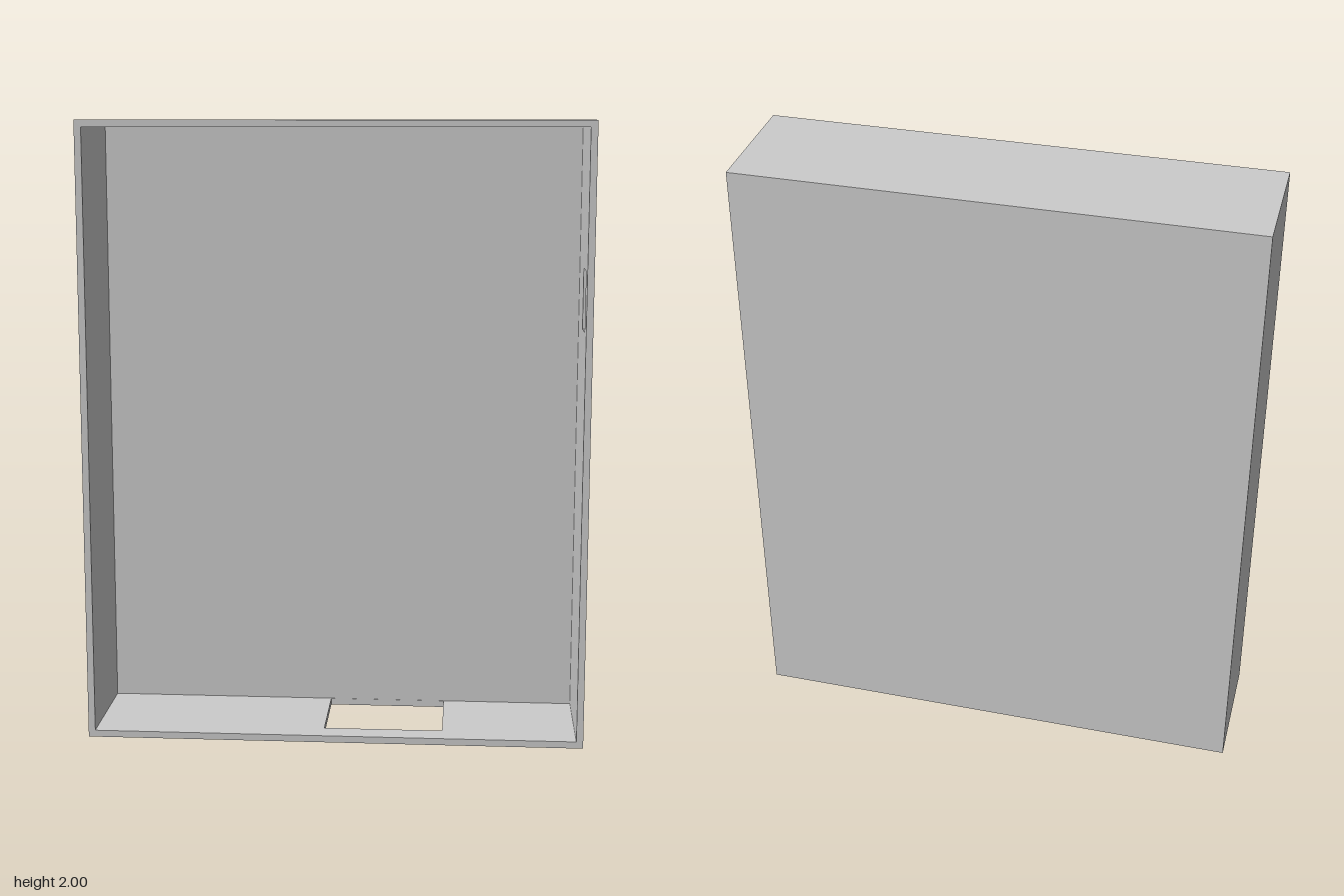
import * as THREE from 'three';

const W = 1.615, H = 2, D = 0.405, T = 0.022; // outer size and wall thickness
const material = new THREE.MeshStandardMaterial({ color: 0xcccccc });

// Flat panel, outer face at z = T, inner face at z = 0 mitred on all edges but the open one.
// hole = [x0, y0, x1, y1] in panel coordinates.
function panel(name, w, h, open, hole) {
  const shape = new THREE.Shape([
    new THREE.Vector2(-w / 2, -h / 2), new THREE.Vector2(w / 2, -h / 2),
    new THREE.Vector2(w / 2, h / 2), new THREE.Vector2(-w / 2, h / 2),
  ]);
  if (hole) {
    const [x0, y0, x1, y1] = hole;
    shape.holes.push(new THREE.Path([
      new THREE.Vector2(x0, y0), new THREE.Vector2(x0, y1),
      new THREE.Vector2(x1, y1), new THREE.Vector2(x1, y0),
    ]));
  }
  const geometry = new THREE.ExtrudeGeometry(shape, { depth: T, bevelEnabled: false });
  const p = geometry.attributes.position;
  const near = (a, b) => Math.abs(a - b) < 1e-4;
  for (let i = 0; i < p.count; i++) {
    if (p.getZ(i) > T / 2) continue;
    const x = p.getX(i), y = p.getY(i);
    if (near(x, w / 2) && open !== '+x') p.setX(i, x - T);
    if (near(x, -w / 2) && open !== '-x') p.setX(i, x + T);
    if (near(y, h / 2) && open !== '+y') p.setY(i, y - T);
    if (near(y, -h / 2) && open !== '-y') p.setY(i, y + T);
  }
  geometry.computeVertexNormals();
  const mesh = new THREE.Mesh(geometry, material);
  mesh.name = name;
  return mesh;
}

export function createModel() {
  const group = new THREE.Group();
  group.name = 'openBox';
  const q = Math.PI / 2;
  const add = (mesh, rx, ry, x, y, z) => {
    mesh.rotation.set(rx, ry, 0);
    mesh.position.set(x, y, z);
    group.add(mesh);
  };

  // Back panel
  add(panel('backPanel', W, H), 0, Math.PI, 0, H / 2, -D / 2 + T);

  // Side walls, the left one with a small window
  add(panel('leftWall', D, H, '-x', [-0.13, 0.34, -0.015, 0.535]), 0, q, W / 2 - T, H / 2, 0);
  add(panel('rightWall', D, H, '+x'), 0, -q, -W / 2 + T, H / 2, 0);

  // Top wall, and the floor with a large opening reaching the back panel
  add(panel('topWall', W, D, '-y'), -q, 0, 0, H - T, 0);
  add(panel('floor', W, D, '+y', [-0.036, -D / 2 + T + 0.001, 0.352, 0.126]), q, 0, 0, T, 0);

  return group;
}
